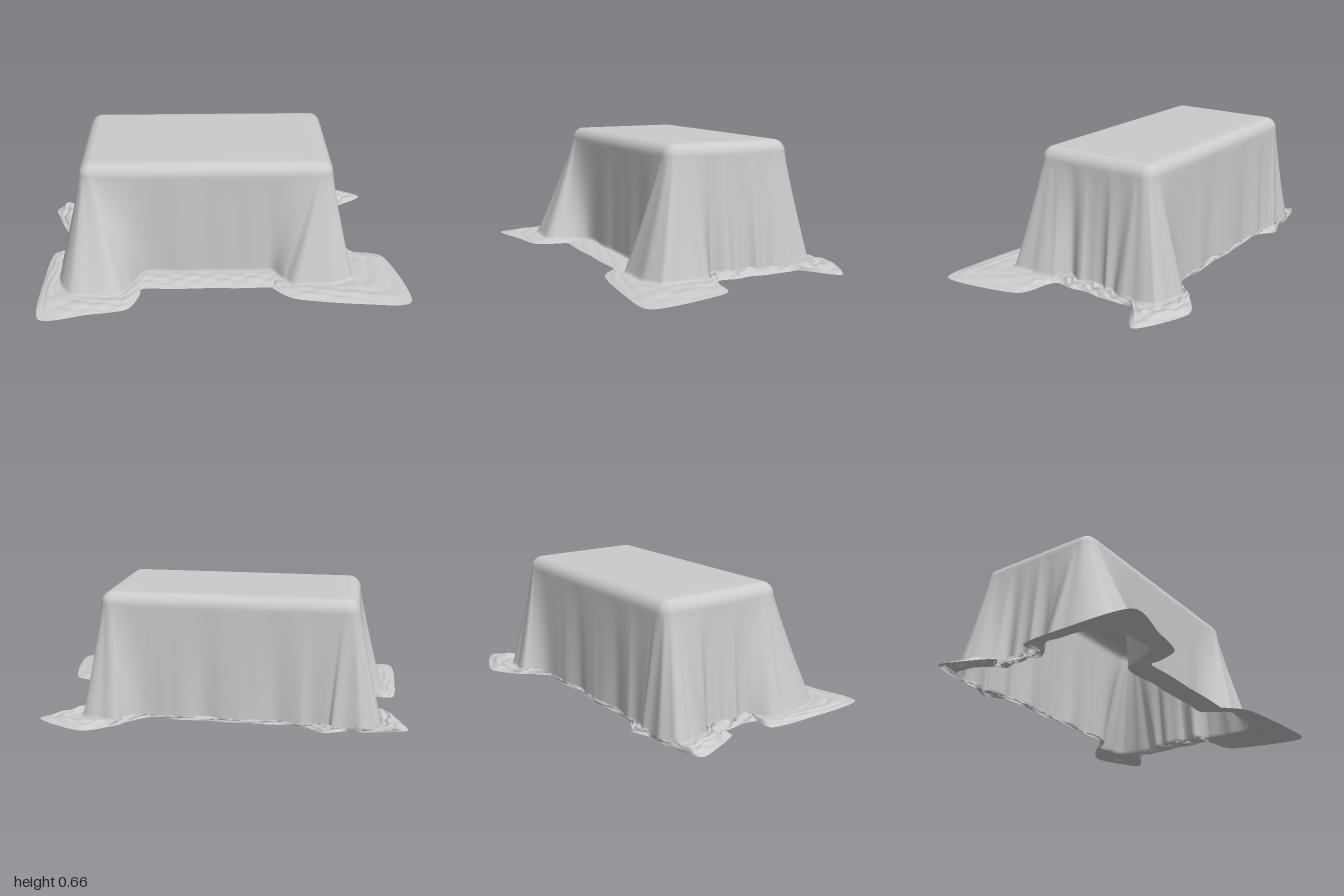
import * as THREE from 'three';

const TOP = 0.663, R = 0.065, FLOOR = 0.012;           // table height, edge rounding, cloth rest height
const X0 = -0.745, X1 = 0.59, Z0 = -0.435, Z1 = 0.275; // table outline

// Corners: flare of the cone in x and z, reach along the long face, crumple, hem from long face to end face.
const corners = {
  frontRight: { x: X1, z: Z1, flare: [0.13, 0.145], reach: 1, ruffle: 0.01,
    hem: [[0.28, 0.44], [0.4, 0.53], [0.75, 0.58], [1, 0.56], [0.93, 0.15], [0.77, 0.09]] },
  backRight: { x: X1, z: Z0, flare: [0.1, 0.115], reach: 0.6, ruffle: 0.02,
    hem: [[0.43, -0.53], [0.48, -0.59], [0.64, -0.68], [0.9, -0.55], [0.74, -0.42], [0.73, -0.33]] },
  backLeft: { x: X0, z: Z0, flare: [0.13, 0.05], reach: 0.6, ruffle: 0.025,
    hem: [[-0.58, -0.52], [-0.7, -0.48], [-0.8, -0.48], [-1, -0.43], [-0.98, -0.32], [-0.9, -0.15]] },
  frontLeft: { x: X0, z: Z1, flare: [0.145, 0.225], reach: 1, ruffle: 0.01,
    hem: [[-0.44, 0.48], [-0.5, 0.6], [-0.7, 0.64], [-0.95, 0.67], [-0.97, 0.3], [-0.95, 0.07]] },
};

// A station pairs a point on the table edge with its foot and hem on the floor.
// The y of the foot carries fold depth, the y of the hem ruffle height.
const station = (ex, ez, fx, fz, fold, hx, hz, ruffle) => [
  new THREE.Vector3(ex, 0, ez), new THREE.Vector3(fx, fold, fz), new THREE.Vector3(hx, ruffle, hz)];

// Cloth fanning out in a cone from one corner, from the long face round to the end face.
function cornerStations({ x, z, flare, reach, ruffle, hem }) {
  const sx = Math.sign(x), sz = Math.sign(z), [gx, gz] = flare;
  const feet = [[-0.25 * reach, 0.6 * gz], [-0.18 * reach, gz], [0, gz],
    [0.85 * gx, 0.6 * gz], [gx, -0.04], [0.85 * gx, -0.155]];
  return feet.map(([fx, fz], i) => {
    const along = (i - 2.5) * 0.045;
    return station(x + sx * Math.min(0, along), z - sz * Math.max(0, along),
      x + sx * fx, z + sz * fz, 0.01, hem[i][0], hem[i][1], ruffle);
  });
}

// Straight fall between two corners, with a gently waving hem.
function sideStations(from, to, count, margin, footGap, hemGap, fold, ruffle) {
  const dir = new THREE.Vector2(to.x - from.x, to.z - from.z);
  const length = dir.length();
  dir.normalize();
  const nx = -dir.y, nz = dir.x; // outward
  return Array.from({ length: count }, (_, i) => {
    const d = margin + (length - 2 * margin) * i / (count - 1);
    const ex = from.x + dir.x * d, ez = from.z + dir.y * d;
    const wave = 0.4 * fold * (i % 2 ? 1 : -1);
    const f = footGap + wave, h = hemGap + wave;
    return station(ex, ez, ex - nx * -f, ez + nz * f, fold, ex + nx * h, ez + nz * h, ruffle);
  });
}

// Three closed loops round the cloth: table edge, foot and hem.
function makeLoops() {
  const { frontRight: fr, backRight: br, backLeft: bl, frontLeft: fl } = corners;
  const all = [
    ...sideStations(fl, fr, 5, 0.32, 0.008, 0.15, 0.005, 0.008),
    ...cornerStations(fr),
    ...sideStations(fr, br, 4, 0.22, 0.055, 0.135, 0.016, 0.026),
    ...cornerStations(br).reverse(),
    ...sideStations(br, bl, 6, 0.26, 0.012, 0.018, 0.011, 0.014),
    ...cornerStations(bl),
    ...sideStations(bl, fl, 4, 0.22, 0.045, 0.095, 0.016, 0.03),
    ...cornerStations(fl).reverse(),
  ];
  return [0, 1, 2].map((k) =>
    new THREE.CatmullRomCurve3(all.map((s) => s[k]), true, 'catmullrom', 0.4));
}

function drape() {
  const N = 520, ARC = 8, WALL = 34, SKIRT = 18;
  const [edge, foot, hem] = makeLoops();
  const columns = [];
  for (let j = 0; j < N; j++) {
    const u = j / N, w = u * Math.PI * 2;
    const e = edge.getPoint(u), f = foot.getPoint(u), h = hem.getPoint(u);
    // rounded corner of the table in plan
    const inner = new THREE.Vector3(
      THREE.MathUtils.clamp(e.x, X0 + R, X1 - R), 0,
      THREE.MathUtils.clamp(e.z, Z0 + R, Z1 - R));
    const out = e.clone().sub(inner).normalize();
    const col = [];
    // flat top
    for (const s of [0, 0.4, 0.8]) {
      col.push(-0.08 + (inner.x + 0.08) * s, TOP, -0.08 + (inner.z + 0.08) * s);
    }
    // rounded edge
    for (let i = 0; i <= ARC; i++) {
      const a = (i / ARC) * Math.PI / 2, r = R * Math.sin(a);
      col.push(inner.x + out.x * r, TOP - R * (1 - Math.cos(a)), inner.z + out.z * r);
    }
    // hanging folds, deeper towards the floor
    const ridge = 0.7 - 1.4 * Math.abs(Math.sin(w * 11 + 0.8 * Math.sin(w * 3)))
      + 0.4 * Math.sin(w * 37 + 1);
    const depth = f.y * ridge;
    const sx = inner.x + out.x * R, sz = inner.z + out.z * R;
    for (let i = 1; i <= WALL; i++) {
      const t = i / WALL, k = Math.pow(t, 1.12), d = depth * Math.pow(t, 0.8);
      col.push(sx + (f.x - sx) * k + out.x * d,
        FLOOR + (TOP - R - FLOOR) * (1 - t),
        sz + (f.z - sz) * k + out.z * d);
    }
    // skirt lying on the floor, crumpled where the cloth bunches up
    for (let i = 1; i <= SKIRT; i++) {
      const s = i / SKIRT, hump = Math.sin(Math.PI * s);
      const crumple = 0.6 * Math.abs(Math.sin(w * 29 + s * 5))
        + 0.6 * Math.abs(Math.sin(w * 17 - s * 7));
      const d = depth * (1 - s) + h.y * 0.5 * Math.sin(w * 31 + s * 6) * hump;
      col.push(f.x + (h.x - f.x) * s + out.x * d,
        FLOOR * (1 - s) + Math.max(0, h.y * crumple * hump),
        f.z + (h.z - f.z) * s + out.z * d);
    }
    columns.push(col);
  }
  // join neighbouring columns into one sheet
  const rings = columns[0].length / 3, index = [];
  for (let j = 0; j < N; j++) {
    const a = j * rings, b = ((j + 1) % N) * rings;
    for (let i = 0; i < rings - 1; i++) {
      if (i > 0) index.push(a + i, b + i + 1, b + i);
      index.push(a + i, a + i + 1, b + i + 1);
    }
  }
  const geo = new THREE.BufferGeometry();
  geo.setAttribute('position', new THREE.Float32BufferAttribute(columns.flat(), 3));
  geo.setIndex(index);
  geo.computeVertexNormals();
  return geo;
}

export function createModel() {
  const group = new THREE.Group();
  group.name = 'drapedTablecloth';
  const cloth = new THREE.Mesh(drape(),
    new THREE.MeshStandardMaterial({ color: 0xcccccc, side: THREE.DoubleSide }));
  cloth.name = 'cloth';
  group.add(cloth);
  return group;
}
